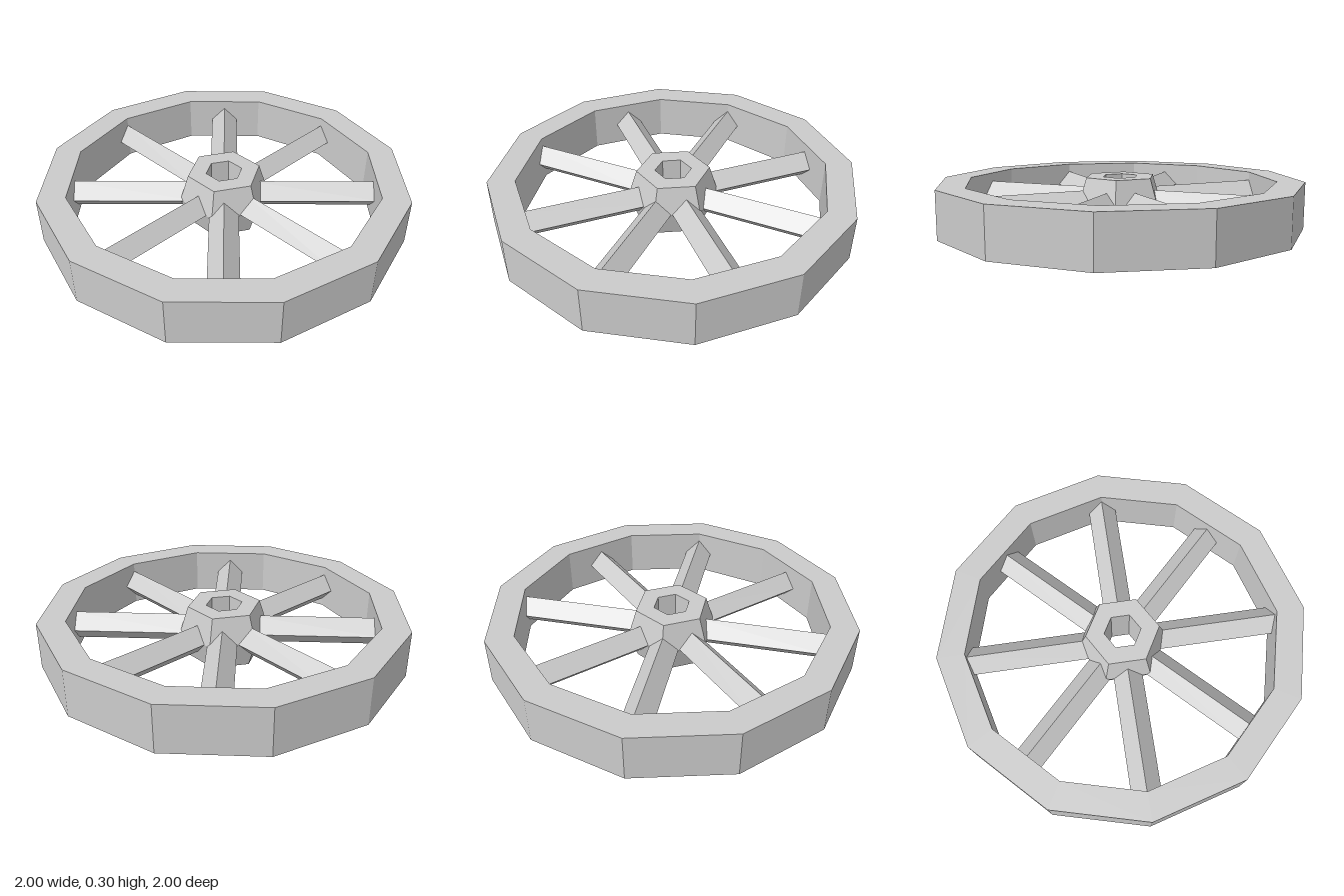
import * as THREE from 'three';

const MID = 0.148; // height of the wheel's centre plane
const material = new THREE.MeshStandardMaterial({ color: 0xcccccc, flatShading: true });

// Closed ring: [radius, y] section turned around the vertical axis
function ring(name, section, sides) {
  const points = [...section, section[0]].map(([r, y]) => new THREE.Vector2(r, y));
  const mesh = new THREE.Mesh(new THREE.LatheGeometry(points, sides), material);
  mesh.name = name;
  mesh.position.y = MID;
  return mesh;
}

export function createModel() {
  const wheel = new THREE.Group();
  wheel.name = 'wheel';

  // Twelve-sided rim with a rectangular section
  wheel.add(ring('rim', [[1, -0.128], [1, 0.128], [0.85, 0.128], [0.85, -0.128]], 12));

  // Six-sided hub, widest at mid height, with a straight axle hole
  wheel.add(ring('hub', [[0.2, -MID], [0.247, 0], [0.2, MID], [0.1, MID], [0.1, -MID]], 6));

  // Eight square spokes set on edge, ends buried in hub and rim
  const spokes = new THREE.Group();
  spokes.name = 'spokes';
  const start = 0.14, end = 0.855;
  const geometry = new THREE.CylinderGeometry(0.079, 0.079, end - start, 4);
  geometry.rotateX(Math.PI / 2).translate(0, 0, (start + end) / 2);
  for (let i = 0; i < 8; i++) {
    const spoke = new THREE.Mesh(geometry, material);
    spoke.name = `spoke${i + 1}`;
    spoke.position.y = MID;
    spoke.rotation.y = (i * Math.PI) / 4;
    spokes.add(spoke);
  }
  wheel.add(spokes);

  return wheel;
}
